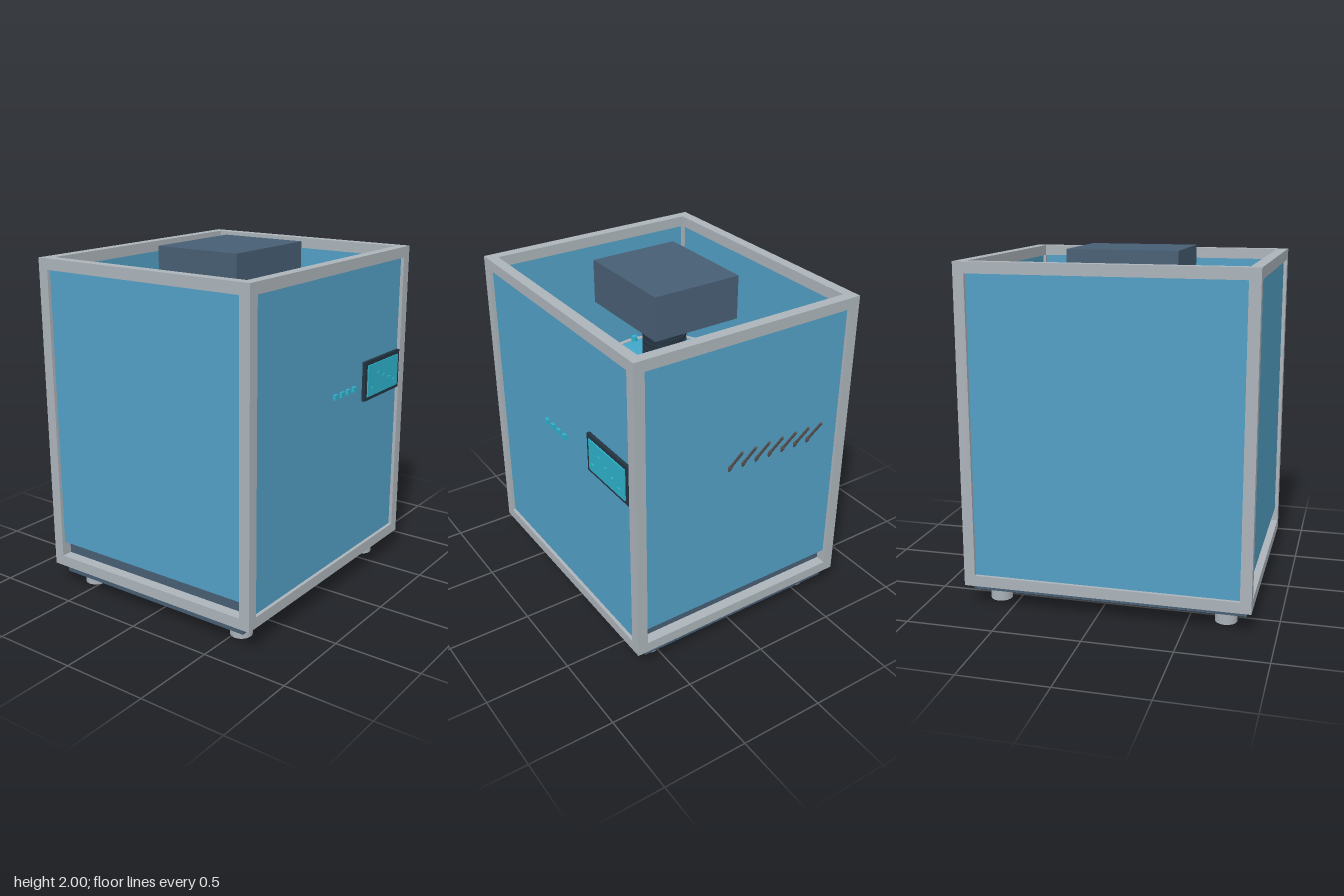
import * as THREE from 'three';

const mat = (name, color) => {
  const m = new THREE.MeshStandardMaterial({ color });
  m.name = name;
  return m;
};

export function createModel() {
  const root = new THREE.Group();
  root.name = 'cabinetUnit';
  const metal = mat('light metal', 0xabb3b9);
  const blue = mat('panel blue', 0x529fc5);
  const slate = mat('slate', 0x475e73);
  const dark = mat('dark navy', 0x243441);
  const cyan = mat('cyan', 0x2db2ca);
  const rodMat = mat('rod grey', 0x5c5656);
  const lidMat = mat('vessel blue', 0x42a6c8);

  const add = (name, geo, m, x, y, z) => {
    const mesh = new THREE.Mesh(geo, m);
    mesh.name = name;
    mesh.position.set(x, y, z);
    root.add(mesh);
    return mesh;
  };
  // box given by its minimum and maximum corners
  const box = (name, m, x0, x1, y0, y1, z0, z1) =>
    add(name, new THREE.BoxGeometry(x1 - x0, y1 - y0, z1 - z0), m, (x0 + x1) / 2, (y0 + y1) / 2, (z0 + z1) / 2);
  const cyl = (name, m, r, y0, y1, x, z, sides = 48) =>
    add(name, new THREE.CylinderGeometry(r, r, y1 - y0, sides), m, x, (y0 + y1) / 2, z);

  // cabinet frame: four posts and two rings of rails
  const X0 = -0.865, X1 = 0.768, Y0 = 0.127, Y1 = 1.957, Z0 = -0.73, Z1 = 0.69, T = 0.063;
  for (const x of [X0, X1 - T])
    for (const z of [Z0, Z1 - T]) box('framePost', metal, x, x + T, Y0, Y1, z, z + T);
  for (const y of [Y0, Y1 - T]) {
    for (const z of [Z0, Z1 - T]) box('frameRailAcross', metal, X0 + T, X1 - T, y, y + T, z, z + T);
    for (const x of [X0, X1 - T]) box('frameRailDeep', metal, x, x + T, y, y + T, Z0 + T, Z1 - T);
  }

  // wall panels set into the frame
  const top = Y1 - T, low = Y0 + T;
  box('frontPanel', blue, X0 + T, X1 - T, low, top, Z1 - 0.045, Z1 - 0.02);
  box('backPanel', blue, X0 + T, X1 - T, low, top, Z0 + 0.02, Z0 + 0.045);
  box('leftPanel', blue, X1 - 0.045, X1 - 0.02, 0.272, top, Z0 + T, Z1 - T);
  box('rightPanel', blue, X0 + 0.02, X0 + 0.045, 0.272, top, Z0 + T, Z1 - T);

  // base plate, floor slab and feet
  box('basePlate', slate, -0.832, 0.74, 0.08, 0.127, -0.66, 0.627);
  box('floorSlab', slate, X0 + T, X1 - T, 0.127, 0.272, Z0 + T, Z1 - T);
  box('floorMat', dark, -0.765, 0.673, 0.272, 0.31, -0.61, 0.563);
  for (const x of [-0.707, 0.612])
    for (const z of [-0.555, 0.527]) cyl('foot', metal, 0.063, 0, 0.08, x, z, 16);

  // vessel with a ring flange, bolts, ribbed neck and drive housing
  const cx = -0.048, cz = -0.025;
  cyl('vesselCollar', dark, 0.411, 0.31, 0.5, cx, cz);
  cyl('vesselBody', lidMat, 0.335, 0.5, 1.42, cx, cz);
  const ring = new THREE.Shape().absarc(0, 0, 0.357, 0, Math.PI * 2);
  ring.holes.push(new THREE.Path().absarc(0, 0, 0.332, 0, Math.PI * 2));
  const flange = new THREE.ExtrudeGeometry(ring, { depth: 0.05, bevelEnabled: false, curveSegments: 32 });
  add('vesselFlange', flange.rotateX(-Math.PI / 2), metal, cx, 1.375, cz);
  const BOLTS = 14;
  for (let i = 0; i < BOLTS; i++) {
    const a = (i / BOLTS) * Math.PI * 2;
    cyl('flangeBolt', cyan, 0.018, 1.4, 1.45, cx + 0.33 * Math.cos(a), cz + 0.33 * Math.sin(a), 12);
  }
  cyl('driveNeck', dark, 0.115, 1.42, 1.745, cx, cz, 24);
  for (let i = 0; i < 8; i++) cyl('neckRib', dark, 0.127, 1.44 + i * 0.038, 1.46 + i * 0.038, cx, cz, 24);
  box('driveHousing', slate, -0.364, 0.272, 1.745, 2, -0.297, 0.245);

  // row of small terminals along the front of the floor
  for (let i = 0; i < 11; i++) {
    const x = -0.71 + i * 0.134;
    box('terminal', i % 3 ? cyan : metal, x - 0.018, x + 0.018, 0.31, 0.335, 0.542, 0.563);
  }

  // control display and push buttons
  box('displayBezel', dark, 0.284, 0.7, 1.105, 1.34, 0.66, 0.69);
  box('displayScreen', cyan, 0.31, 0.673, 1.127, 1.316, 0.688, 0.697);
  for (const [x, y] of [[0.357, 1.175], [0.425, 1.255], [0.491, 1.228], [0.557, 1.2], [0.622, 1.175]])
    box('displayMark', cyan, x - 0.012, x + 0.012, y - 0.006, y + 0.006, 0.697, 0.705);
  for (let i = 0; i < 4; i++) {
    const x = -0.106 + i * 0.067;
    box('pushButton', cyan, x - 0.015, x + 0.015, 1.215, 1.245, 0.717, 0.733);
  }

  // slanted rods through the left wall, each with a thicker sleeve
  const rod = (name, r, a, b) => {
    const dir = b.clone().sub(a);
    const m = add(name, new THREE.CylinderGeometry(r, r, dir.length(), 12), rodMat, 0, 0, 0);
    m.position.copy(a).addScaledVector(dir, 0.5);
    m.quaternion.setFromUnitVectors(new THREE.Vector3(0, 1, 0), dir.normalize());
  };
  for (let i = 0; i < 7; i++) {
    const z = 0.085 - i * 0.09;
    const a = new THREE.Vector3(0.677, 1.035, z), b = new THREE.Vector3(0.853, 1.303, z);
    rod('sideRod', 0.0075, a, b);
    rod('rodSleeve', 0.011, a, a.clone().lerp(b, 0.48));
  }
  return root;
}
